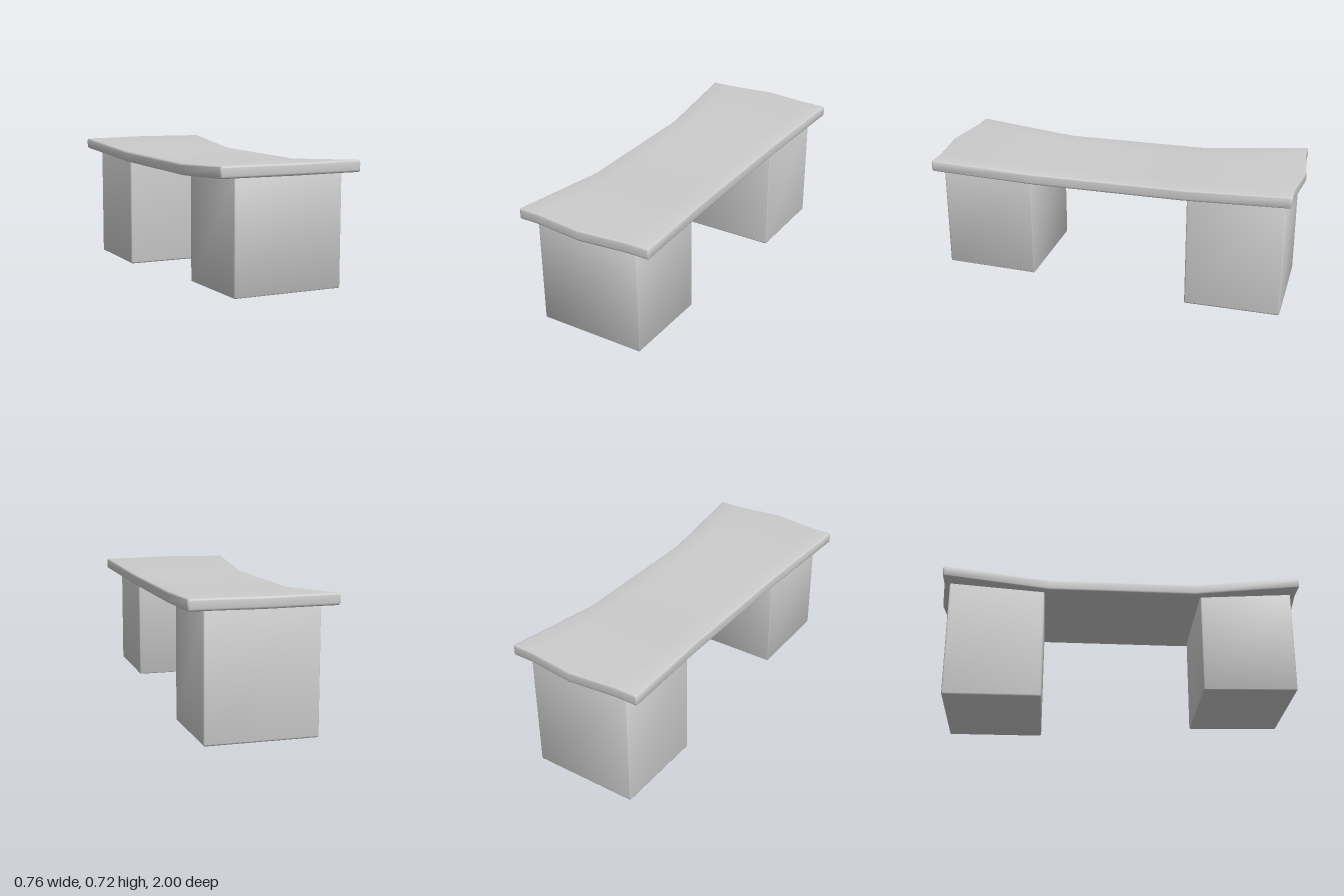
import * as THREE from 'three';
import { mergeVertices, toCreasedNormals } from 'three/addons/utils/BufferGeometryUtils.js';

const material = new THREE.MeshStandardMaterial({ color: 0xcccccc });

// Grid lines along one axis: two bevel steps at each end plus inner divisions
function stations(half, r, inner = []) {
  return [-half, -half + r / 2, -half + r, ...inner, half - r, half - r / 2, half];
}

// Box with rounded edges, divided at chosen lines, then bent by a rule
function roundedBlock(name, half, r, inner, warp) {
  const lines = half.map((h, i) => stations(h, r, inner[i]));
  const seg = lines.map(l => l.length - 1);
  const geo = new THREE.BoxGeometry(...seg, ...seg);
  geo.deleteAttribute('uv');
  geo.deleteAttribute('normal');
  const pos = geo.attributes.position;
  const p = new THREE.Vector3();
  const core = new THREE.Vector3();
  const limit = new THREE.Vector3(...half).subScalar(r);
  const lower = limit.clone().negate();
  for (let i = 0; i < pos.count; i++) {
    p.fromBufferAttribute(pos, i);
    p.fromArray(p.toArray().map((v, a) => lines[a][Math.round(v + seg[a] / 2)]));
    core.copy(p).clamp(lower, limit);
    p.sub(core).setLength(r).add(core);
    warp(p);
    pos.setXYZ(i, p.x, p.y, p.z);
  }
  const mesh = new THREE.Mesh(toCreasedNormals(mergeVertices(geo, 1e-5), 0.7), material);
  mesh.name = name;
  return mesh;
}

// 0 over the level middle of the seat, rising to 1 at its tips
const rise = z => Math.max(0, Math.abs(z) - 0.4) / 0.6;

// Seat: waisted in plan, pointed at the ends, tips bent upward
function makeSeat() {
  return roundedBlock('seat', [0.38, 0.03, 1], 0.012, [[-0.26, 0, 0.26], [], [-0.4, 0.4]], p => {
    const cut = 0.03 * Math.min(1, Math.abs(p.x) / 0.26);
    p.z -= Math.sign(p.z) * cut * rise(p.z);
    const t = rise(p.z);
    p.x *= (0.33 + 0.053 * t) / 0.38;
    p.y += 0.645 + 0.042 * t;
  });
}

// Block leg: top follows the seat's underside, foot may slope from inner to outer edge
function makeLeg(name, zInner, zOuter, footInner, footOuter, halfWidth) {
  const halfDepth = Math.abs(zOuter - zInner) / 2;
  return roundedBlock(name, [halfWidth, 0.3, halfDepth], 0.009, [[], [], []], p => {
    p.z += (zInner + zOuter) / 2;
    const foot = THREE.MathUtils.mapLinear(p.z, zInner, zOuter, footInner, footOuter);
    const top = 0.635 + 0.042 * rise(p.z);
    p.y = THREE.MathUtils.mapLinear(p.y, -0.3, 0.3, foot, top);
  });
}

export function createModel() {
  const bench = new THREE.Group();
  bench.name = 'bench';
  bench.add(
    makeSeat(),
    makeLeg('frontLeg', 0.433, 0.938, 0.066, 0.078, 0.292),
    makeLeg('backLeg', -0.422, -0.938, 0.002, 0, 0.294)
  );
  return bench;
}
